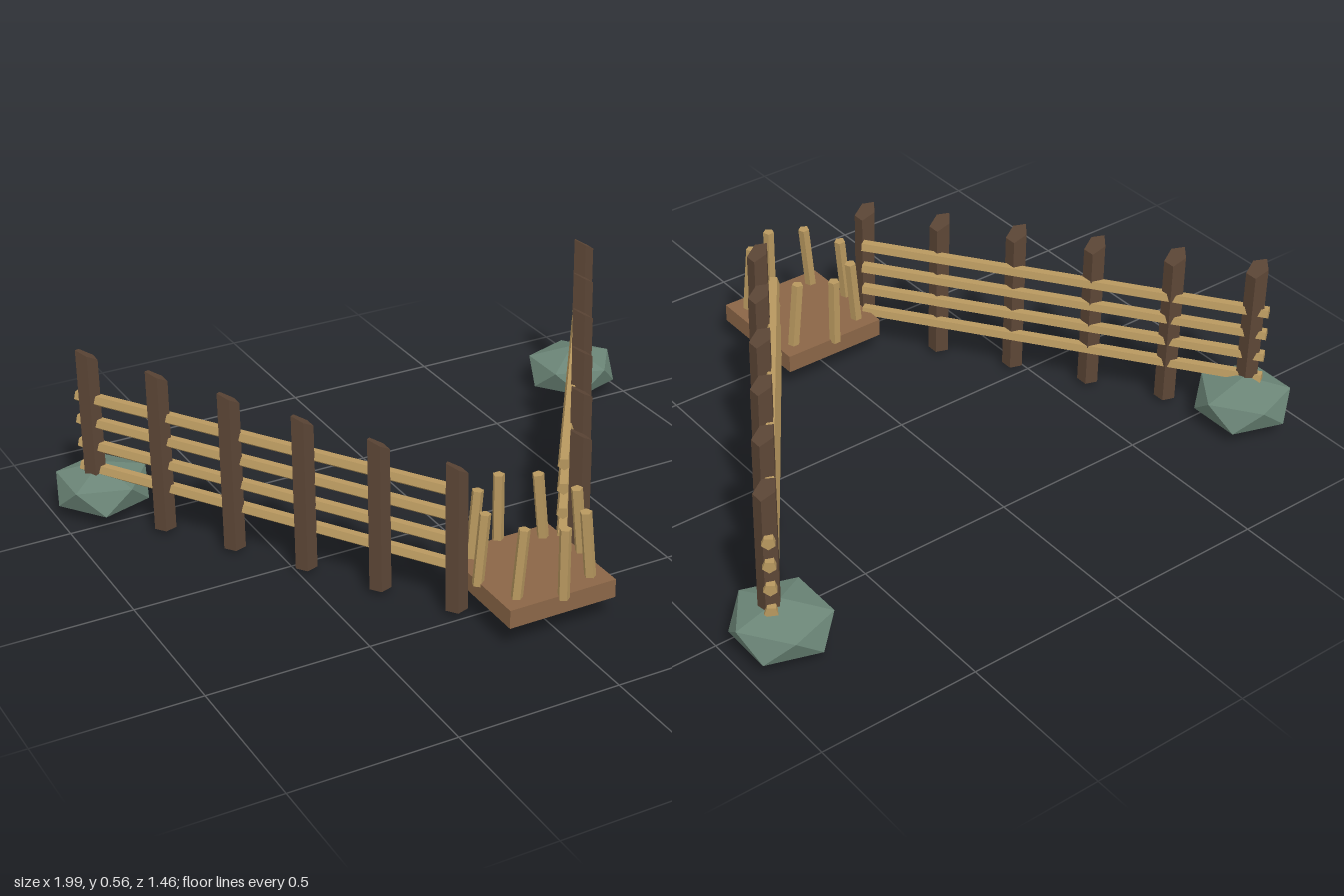
import * as THREE from 'three';

const flat = (name, color) => {
  const m = new THREE.MeshStandardMaterial({ color, flatShading: true });
  m.name = name;
  return m;
};

export function createModel() {
  const darkWood = flat('dark wood', 0x5c4636);
  const paleWood = flat('pale wood', 0xb8985f);
  const plankWood = flat('plank wood', 0x8b6647);
  const stone = flat('green stone', 0x6b8577);
  const model = new THREE.Group();
  model.name = 'fishWeir';

  const add = (parent, name, geometry, material) => {
    const mesh = new THREE.Mesh(geometry, material);
    mesh.name = name;
    parent.add(mesh);
    return mesh;
  };

  // Round pole between two points
  const pole = (parent, name, a, b, radius) => {
    const dir = b.clone().sub(a);
    const mesh = add(parent, name, new THREE.CylinderGeometry(radius, radius, dir.length(), 5), paleWood);
    mesh.position.copy(a).add(b).multiplyScalar(0.5);
    mesh.quaternion.setFromUnitVectors(new THREE.Vector3(0, 1, 0), dir.normalize());
  };

  // Five-sided post with a top cut at a slant, high on the -x side
  const postGeometry = (peak) => {
    const r = 0.034, base = 0.015, slope = 0.6;
    const geometry = new THREE.CylinderGeometry(r, r, 1, 5, 1, false, -Math.PI / 2);
    const p = geometry.attributes.position;
    for (let i = 0; i < p.count; i++) {
      p.setY(i, p.getY(i) > 0 ? peak - (p.getX(i) + r) * slope : base);
    }
    geometry.computeVertexNormals();
    return geometry;
  };

  // Squashed boulder standing on one corner
  const rockGeometry = new THREE.IcosahedronGeometry(1, 0);
  rockGeometry.rotateZ(-Math.atan2(1, (1 + Math.sqrt(5)) / 2));
  rockGeometry.scale(0.161, 0.082, 0.161);
  rockGeometry.computeVertexNormals();

  // Two fence wings, spreading toward the back
  for (const side of [1, -1]) {
    const wing = new THREE.Group();
    wing.name = side > 0 ? 'leftWing' : 'rightWing';
    model.add(wing);

    for (let i = 0; i < 6; i++) {
      const post = add(wing, 'post', postGeometry(0.49 + i * 0.0135), darkWood);
      post.position.set(side * (0.202 + i * 0.1346), 0, 0.46 - i * 0.2094);
    }
    for (let i = 0; i < 4; i++) {
      pole(wing, 'rail',
        new THREE.Vector3(side * 0.17, 0.127 + i * 0.08, 0.43),
        new THREE.Vector3(side * 0.898, 0.153 + i * 0.079, -0.627), 0.02);
    }
    add(wing, 'boulder', rockGeometry, stone).position.set(side * 0.851, 0.082, -0.6);
  }

  // Trap platform at the narrow end
  const trap = new THREE.Group();
  trap.name = 'trap';
  model.add(trap);
  add(trap, 'platform', new THREE.BoxGeometry(0.346, 0.058, 0.362), plankWood).position.set(0, 0.102, 0.53);

  // Ring of stakes, the side ones leaning inward
  for (let i = 0; i < 8; i++) {
    const a = (i * Math.PI) / 4;
    const x = Math.cos(a) * 0.172, z = 0.53 + Math.sin(a) * 0.18;
    const lean = Math.abs(x) < 0.01 ? 0 : Math.sign(x) * 0.022;
    pole(trap, 'stake', new THREE.Vector3(x, 0.12, z), new THREE.Vector3(x - lean, 0.343, z), 0.018);
  }
  return model;
}
